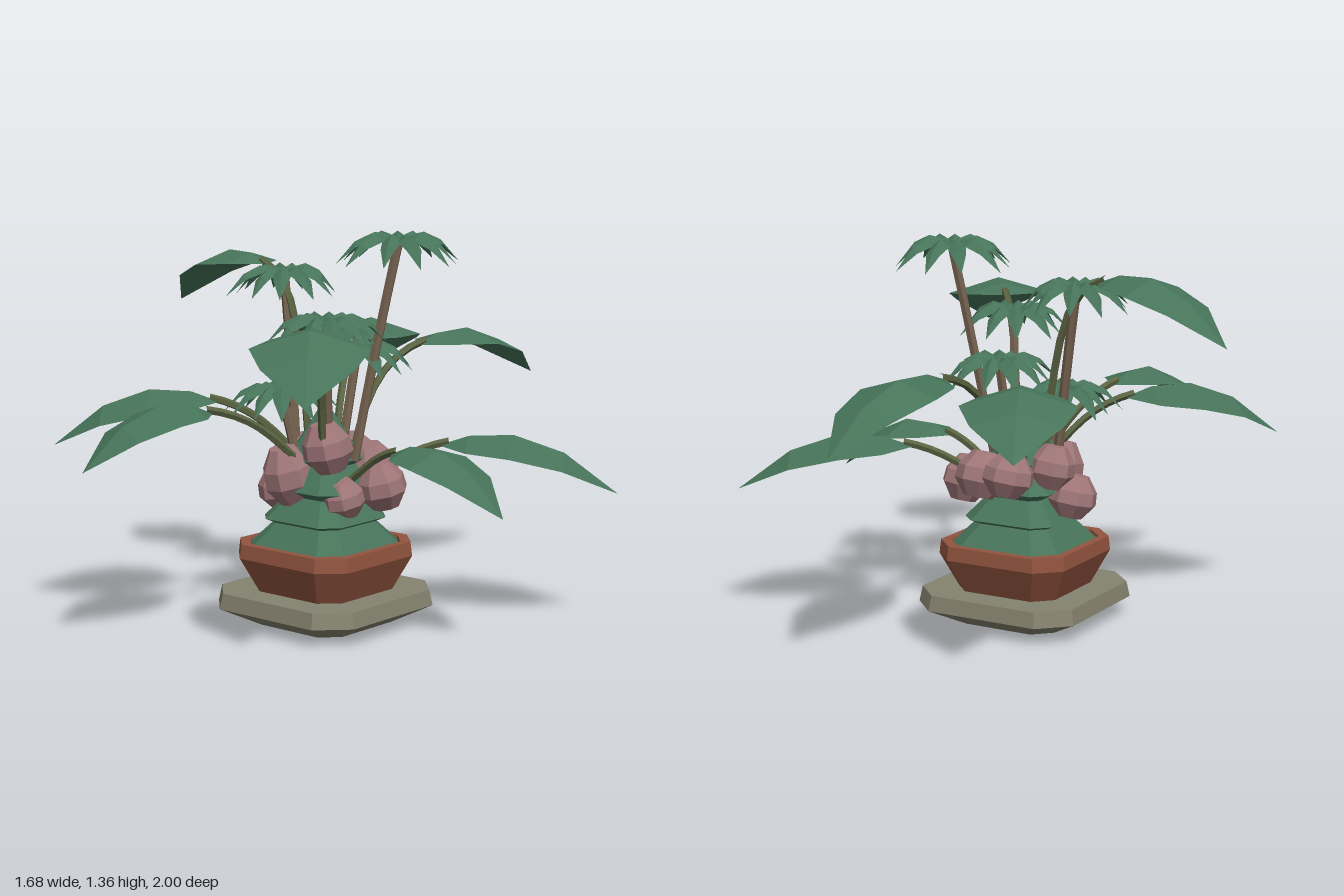
import * as THREE from 'three';

const mat = (name, color, side = THREE.FrontSide) => {
  const m = new THREE.MeshStandardMaterial({ color, side, flatShading: true });
  m.name = name;
  return m;
};
const V = (x, y, z) => new THREE.Vector3(x, y, z);

function geometryFrom(points) {
  const g = new THREE.BufferGeometry().setFromPoints(points);
  g.computeVertexNormals();
  return g;
}

// Chamfered-square solid; profile = [halfWidth, y] from bottom to top
function chamferedLoft(profile, c = 0.68) {
  const corners = [[1, c], [c, 1], [-c, 1], [-1, c], [-1, -c], [-c, -1], [c, -1], [1, -c]];
  const rings = profile.map(([w, y]) => corners.map(([x, z]) => V(x * w, y, z * w)));
  const pts = [];
  const last = rings.length - 1;
  const bottom = V(0, profile[0][1], 0), top = V(0, profile[last][1], 0);
  for (let i = 0; i < 8; i++) {
    const j = (i + 1) % 8;
    for (let r = 0; r < last; r++) {
      const a = rings[r], b = rings[r + 1];
      pts.push(a[i], b[i], a[j], a[j], b[i], b[j]);
    }
    pts.push(bottom, rings[0][i], rings[0][j], top, rings[last][j], rings[last][i]);
  }
  return geometryFrom(pts);
}

// Folded leaf arching from base to tip, with a raised midrib
function leafPoints(base, tip, halfWidth, lift, droop) {
  const mid = base.clone().add(tip).multiplyScalar(0.5);
  mid.y += lift;
  const spine = new THREE.QuadraticBezierCurve3(base, mid, tip);
  const across = V(tip.z - base.z, 0, base.x - tip.x).normalize();
  const stations = [[0, 0], [0.17, 0.72], [0.42, 1], [0.7, 0.76], [1, 0]];
  const rows = stations.map(([t, w]) => {
    const p = spine.getPoint(t);
    const edge = (s) => p.clone().addScaledVector(across, s * w * halfWidth)
      .add(V(0, -w * halfWidth * droop, 0));
    return [edge(1), p, edge(-1)];
  });
  const pts = [];
  for (let i = 0; i < rows.length - 1; i++) {
    const a = rows[i], b = rows[i + 1];
    for (let k = 0; k < 2; k++) {
      pts.push(a[k], b[k], a[k + 1], a[k + 1], b[k], b[k + 1]);
    }
  }
  return pts;
}

export function createModel() {
  const model = new THREE.Group();
  const leafGreen = mat('leaf green', 0x47745a, THREE.DoubleSide);
  const mossGreen = mat('moss green', 0x47745a);
  const clay = mat('terracotta', 0x92543f);
  const stone = mat('saucer stone', 0x85826f);
  const pink = mat('dusty pink', 0x9f7678);
  const olive = mat('stem olive', 0x5a6342);
  const brown = mat('trunk brown', 0x75624f);
  const soil = mat('dark soil', 0x54291f);

  const add = (parent, name, geometry, material) => {
    const mesh = new THREE.Mesh(geometry, material);
    mesh.name = name;
    parent.add(mesh);
    return mesh;
  };
  const group = (name) => {
    const g = new THREE.Group();
    g.name = name;
    model.add(g);
    return g;
  };

  // Saucer, pot, soil and tiered moss share one centre
  const planter = group('planter');
  planter.position.set(-0.008, 0, 0.09);
  add(planter, 'saucer', chamferedLoft([[0.19, 0], [0.312, 0.065], [0.302, 0.12], [0.22, 0.12]]), stone);
  add(planter, 'pot', chamferedLoft([[0.195, 0.12], [0.252, 0.24], [0.247, 0.29], [0.218, 0.29], [0.215, 0.27]]), clay);
  add(planter, 'soil', chamferedLoft([[0.216, 0.265], [0.216, 0.278]]), soil);
  const tiers = [[0.215, 0.28, 0.13, 0.375], [0.175, 0.375, 0.11, 0.45],
    [0.15, 0.48, 0.08, 0.57], [0.11, 0.58, 0.02, 0.75]];
  tiers.forEach(([w0, y0, w1, y1]) => {
    add(planter, 'mossTier', chamferedLoft([[w0 * 0.65, y0 - 0.03], [w0, y0], [w1, y1]]), mossGreen);
  });

  // Chunky pink bulbs: x, y, z, radius, half height, turn
  const bulbs = group('bulbs');
  const bulbShape = chamferedLoft([[0.55, -1], [1, -0.3], [0.95, 0.3], [0.5, 1]], 0.45);
  [[-0.19, 0.46, 0.11, 0.08, 0.075, 0.3], [-0.08, 0.53, 0.2, 0.085, 0.1, 0.8],
    [0.08, 0.64, 0.18, 0.08, 0.085, 0.2], [0.19, 0.5, 0.02, 0.08, 0.08, 0.6],
    [0.11, 0.46, 0.13, 0.07, 0.065, 1.1], [-0.05, 0.56, -0.1, 0.085, 0.075, 0.4],
    [0.08, 0.54, -0.06, 0.085, 0.08, 0.9], [-0.14, 0.57, 0.05, 0.075, 0.075, 0.1],
  ].forEach(([x, y, z, r, h, turn]) => {
    const bulb = add(bulbs, 'bulb', bulbShape, pink);
    bulb.position.set(x, y, z);
    bulb.scale.set(r, h, r);
    bulb.rotation.set(0.15, turn, 0.12);
  });

  // Broad leaves on arching stems: base, tip, half width
  const broad = group('broadLeaves');
  [[[-0.27, 0.92, -0.39], [-0.52, 0.8, -0.88], 0.19],
    [[0.03, 0.93, -0.37], [0.08, 0.77, -1], 0.155],
    [[0.31, 0.63, -0.14], [0.84, 0.48, -0.46], 0.18],
    [[0.29, 0.63, 0.09], [0.76, 0.47, 0.09], 0.155],
    [[0.32, 1.08, 0.52], [0.62, 0.92, 0.9], 0.19],
    [[-0.12, 0.78, 0.53], [-0.25, 0.63, 1], 0.155],
    [[-0.27, 0.78, 0.34], [-0.7, 0.63, 0.72], 0.2],
    [[-0.32, 1.23, 0.04], [-0.84, 1.06, 0.05 - 0.1], 0.155],
  ].forEach(([b, t, w]) => {
    const base = V(...b), tip = V(...t);
    add(broad, 'broadLeaf', geometryFrom(leafPoints(base, tip, w, 0.22, 0.3)), leafGreen);
    const centre = V(0, 0, 0.09);
    const along = (f, y) => centre.clone().lerp(base, f).setY(y);
    const low = Math.min(0.6, base.y - 0.12);
    const end = base.clone().lerp(tip, 0.06);
    end.y = base.y + 0.015;
    const curve = new THREE.CubicBezierCurve3(along(0.3, low), along(0.45, base.y - 0.12),
      along(0.65, base.y - 0.02), end);
    add(broad, 'leafStem', new THREE.TubeGeometry(curve, 7, 0.014, 5), olive);
  });

  // Small palms: trunk foot, crown, frond length
  const palms = group('palms');
  const FRONDS = 11;
  [[[0.1, 0.58, 0.06], [0.21, 1.33, -0.04], 0.22],
    [[-0.13, 0.55, 0.1], [-0.23, 1.2, 0.05], 0.195],
    [[0.08, 0.6, 0.17], [0.12, 1.07, 0.23], 0.2],
    [[0, 0.55, 0.02], [0.01, 0.94, -0.06], 0.2],
    [[-0.06, 0.55, 0.17], [-0.11, 0.81, 0.2], 0.19],
  ].forEach(([f, c, length], n) => {
    const foot = V(...f), crown = V(...c);
    const bend = foot.clone().lerp(crown, 0.5).add(V(-0.08 * (crown.x - foot.x), 0, 0));
    const curve = new THREE.QuadraticBezierCurve3(foot, bend, crown);
    add(palms, 'palmTrunk', new THREE.TubeGeometry(curve, 4, 0.017, 6), brown);
    const pts = [];
    for (let i = 0; i < FRONDS; i++) {
      const angle = (i / FRONDS) * Math.PI * 2 + n * 0.35;
      const r = length * (1 + 0.12 * Math.sin(i * 2.4 + n));
      const tip = crown.clone().add(V(Math.cos(angle) * r, -0.07, Math.sin(angle) * r));
      pts.push(...leafPoints(crown, tip, 0.034, 0.13, 0.7));
    }
    add(palms, 'palmFronds', geometryFrom(pts), leafGreen);
  });

  return model;
}
